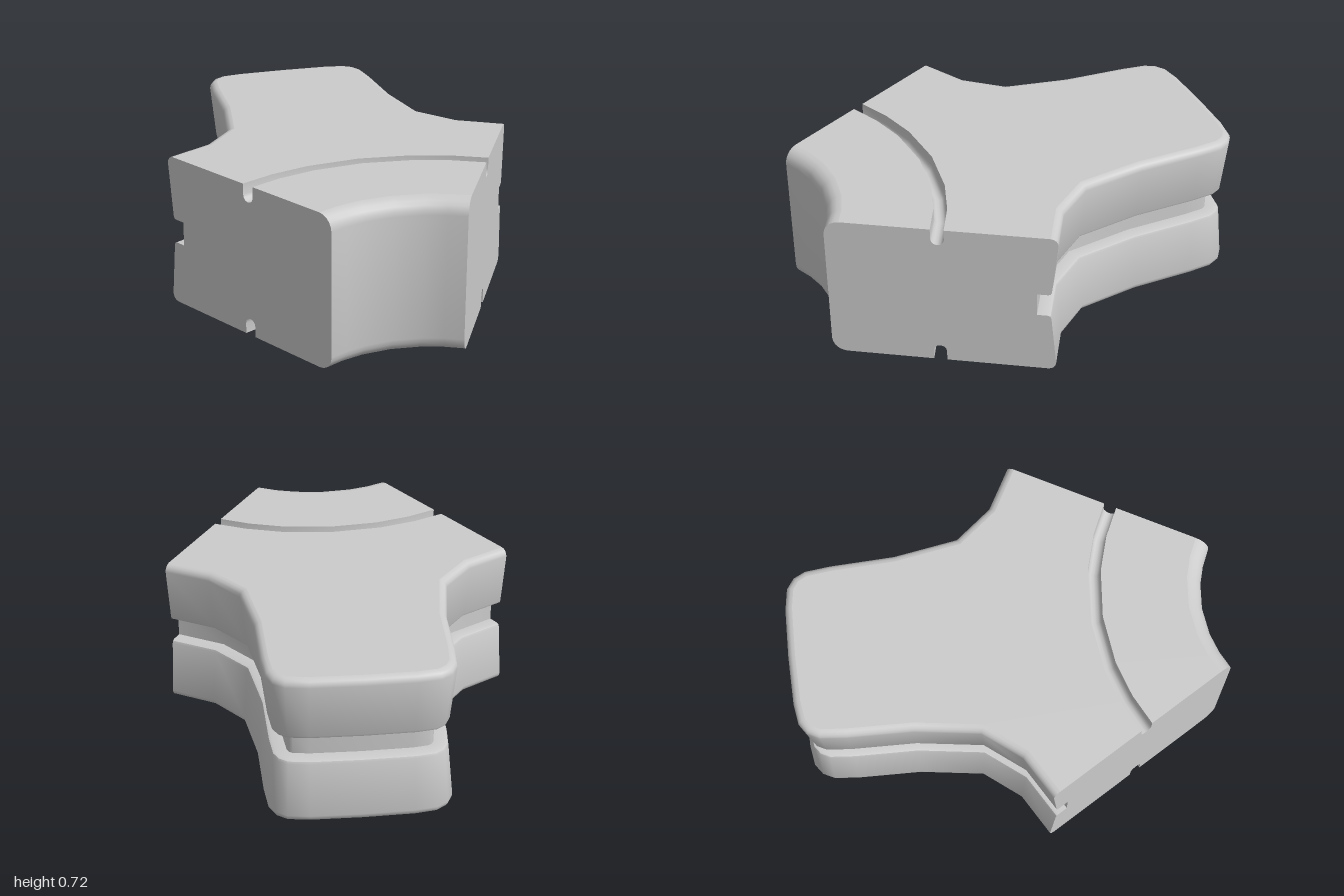
import * as THREE from 'three';
import { toCreasedNormals } from 'three/addons/utils/BufferGeometryUtils.js';

const CZ = 1.52;          // ring centre lies at (0, CZ); the block is a 60 degree sector
const R = 1.626;          // radius where the outer wall meets the side faces
const H = 0.72, MID = H / 2;
const GROOVE_OUT = 1.13, GROOVE_IN = 1.07, BORE = 0.6;
const BEVEL = 0.035, BORE_FILLET = 0.07;
const V = (x, y) => new THREE.Vector2(x, y);

// Quarter (or longer) arc of profile points
const arc = (cx, cy, r, a0, a1, n) => Array.from({ length: n + 1 }, (_, i) => {
  const a = THREE.MathUtils.degToRad(a0 + (a1 - a0) * i / n);
  return V(cx + r * Math.cos(a), cy + r * Math.sin(a));
});
const flipY = (pts) => pts.map((p) => V(p.x, H - p.y)).reverse();

// Stations: a base point and the direction in which profile distance is measured
function arcStations() {
  return [-30, -21.7, -12.4, 0, 12.4, 21.7, 30].map((deg) => {
    const a = THREE.MathUtils.degToRad(deg);
    return { p: V(0, CZ), dir: V(Math.sin(a), -Math.cos(a)) };
  });
}

function outlineStations() {
  const half = [[0, -1], [0.23, -0.995], [0.33, -0.98], [0.38, -0.945], [0.408, -0.89], [0.42, -0.77],
    [0.43, -0.47], [0.478, -0.17], [0.615, 0], [R / 2, CZ - R * Math.cos(Math.PI / 6)]];
  const pts = [...half.slice(1).reverse().map(([x, z]) => V(-x, z)), ...half.map(([x, z]) => V(x, z))];
  const normal = (a, b) => V(a.y - b.y, b.x - a.x).normalize();
  return pts.map((p, i) => {
    if (i === 0 || i === pts.length - 1) return { p, dir: V(-p.x, CZ - p.y).normalize() };
    const n1 = normal(pts[i - 1], p), n2 = normal(p, pts[i + 1]);
    return { p, dir: n1.clone().add(n2).divideScalar(1 + n1.dot(n2)) };
  });
}

const at = (s, d) => V(s.p.x + s.dir.x * d, s.p.y + s.dir.y * d);

// Sweep an open profile (distance, height) along the stations
function sweep(stations, profile) {
  const pos = [];
  const put = (i, j) => {
    const q = at(stations[i], profile[j].x);
    pos.push(q.x, profile[j].y, q.y);
  };
  for (let i = 0; i < stations.length - 1; i++) {
    for (let j = 0; j < profile.length - 1; j++) {
      put(i, j); put(i, j + 1); put(i + 1, j + 1);
      put(i, j); put(i + 1, j + 1); put(i + 1, j);
    }
  }
  const g = new THREE.BufferGeometry();
  g.setAttribute('position', new THREE.Float32BufferAttribute(pos, 3));
  return toCreasedNormals(g, 0.7);
}

export function createModel() {
  const group = new THREE.Group();
  const material = new THREE.MeshStandardMaterial({ color: 0xcccccc });
  const add = (name, geometry) => {
    const m = new THREE.Mesh(geometry, material);
    m.name = name;
    group.add(m);
    return m;
  };
  const ring = arcStations(), outline = outlineStations();

  // Profiles, listed as one loop: outer wall up, top slot, bore down, bottom slot
  const upper = [V(0.09, MID), V(0.09, MID + 0.057), V(0.04, MID + 0.057),
    ...arc(0.04, MID + 0.072, 0.015, 270, 180, 2),
    V(0, H - BEVEL), ...arc(BEVEL, H - BEVEL, BEVEL, 180, 90, 4).slice(1)];
  const outer = [...flipY(upper).slice(0, -1), ...upper.slice(1)];
  const slotR = (GROOVE_OUT - GROOVE_IN) / 2;
  const topSlot = [V(GROOVE_OUT, H), ...arc((GROOVE_OUT + GROOVE_IN) / 2, H - 0.05, slotR, 0, -180, 6), V(GROOVE_IN, H)];
  const bottomSlot = flipY(topSlot);
  const boreTop = arc(BORE + BORE_FILLET, H - BORE_FILLET, BORE_FILLET, 90, 180, 5);
  const bore = [...boreTop, ...flipY(boreTop)];

  add('outerWallWithBeltGroove', sweep(outline, outer));
  add('boreWall', sweep(ring, bore));
  add('topSlot', sweep(ring, topSlot));
  add('bottomSlot', sweep(ring, bottomSlot));

  // Flat top and bottom faces on both sides of the slots
  const outerCap = [...outline.map((s) => at(s, BEVEL)), ...ring.map((s) => at(s, GROOVE_OUT)).reverse()];
  const innerCap = [...ring.map((s) => at(s, GROOVE_IN)), ...ring.map((s) => at(s, BORE + BORE_FILLET)).reverse()];
  for (const [name, pts] of [['OuterFace', outerCap], ['InnerFace', innerCap]]) {
    const top = new THREE.ShapeGeometry(new THREE.Shape(pts.map((p) => V(p.x, -p.y))));
    add('top' + name, top.rotateX(-Math.PI / 2).translate(0, H, 0));
    const bottom = new THREE.ShapeGeometry(new THREE.Shape(pts.map((p) => p.clone())));
    add('bottom' + name, bottom.rotateX(Math.PI / 2));
  }

  // Flat radial side faces, cut to the full cross-section
  const section = [...outer.map((p) => V(R - p.x, p.y)), ...topSlot, ...bore, ...bottomSlot];
  for (const [name, sign] of [['leftSideFace', 1], ['rightSideFace', -1]]) {
    const shape = new THREE.Shape(section.map((p) => V(sign * p.x, p.y)));
    const face = add(name, new THREE.ShapeGeometry(shape));
    face.position.z = CZ;
    face.rotation.y = sign * Math.PI / 3;
  }
  return group;
}
